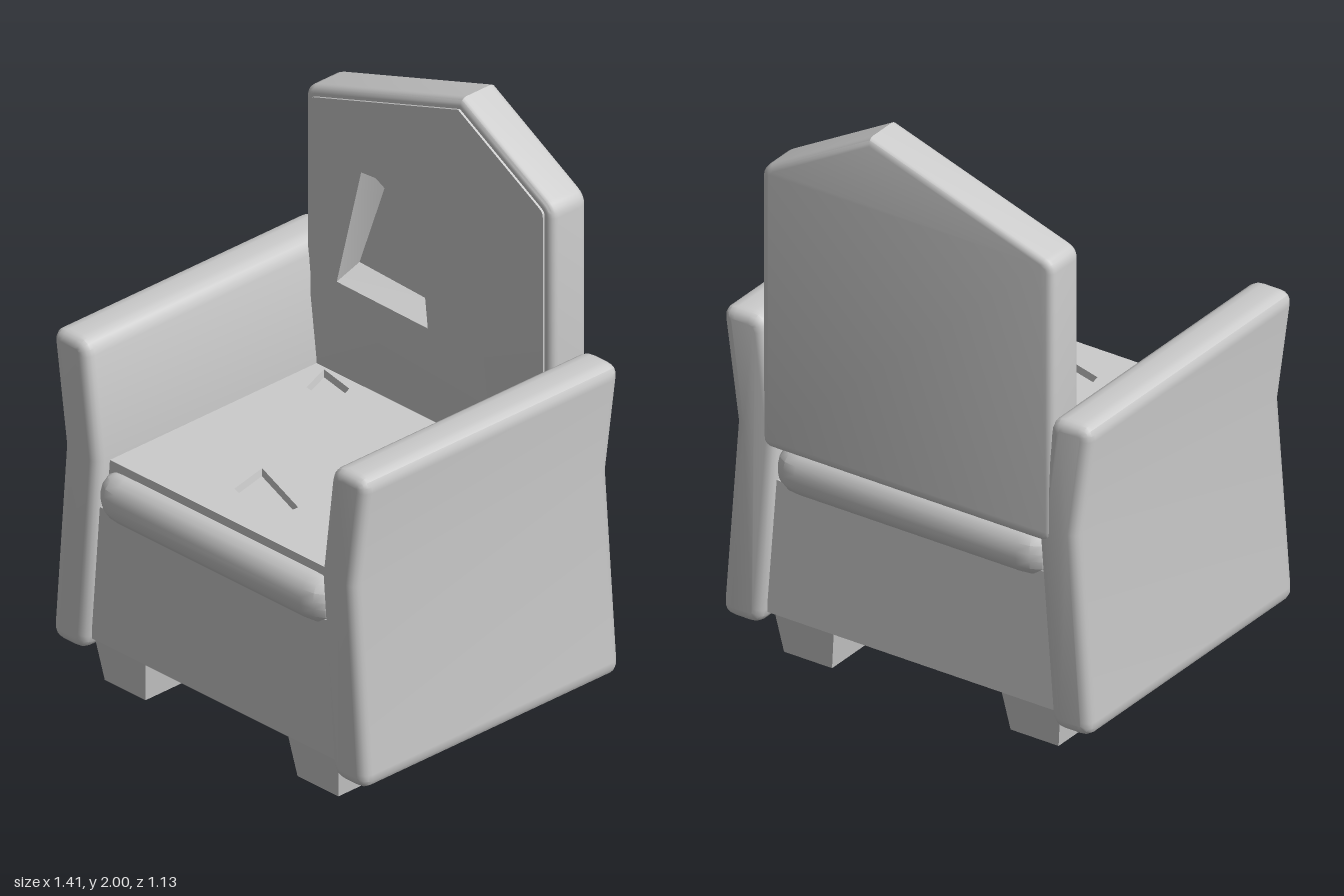
import * as THREE from 'three';
import { mergeGeometries, toCreasedNormals } from 'three/addons/utils/BufferGeometryUtils.js';

const material = new THREE.MeshStandardMaterial({ color: 0xcccccc });
const V = (x, y) => new THREE.Vector2(x, y);

// Counter-clockwise outline; each corner is cut back by c and curved, or kept sharp when marked 0
function outline(corners, c) {
  const pts = corners.map(([x, y]) => V(x, y));
  const n = pts.length;
  return corners.flatMap((corner, i) => {
    const p = pts[i];
    if (corner[2] === 0 || c === 0) return [p];
    const toward = (q) => p.clone().add(q.clone().sub(p).setLength(c));
    return new THREE.QuadraticBezierCurve(toward(pts[(i + n - 1) % n]), p, toward(pts[(i + 1) % n])).getPoints(4);
  });
}

// Move an outline inward by d along its mitres
function inset(pts, d) {
  const n = pts.length;
  const normal = (a, b) => V(a.y - b.y, b.x - a.x).normalize();
  return pts.map((p, i) => {
    const n1 = normal(pts[(i + n - 1) % n], p), n2 = normal(p, pts[(i + 1) % n]);
    return p.clone().addScaledVector(n1.clone().add(n2), d / (1 + n1.dot(n2)));
  });
}

// Skin between rings of { pts, z }
function loft(rings) {
  const pos = [], n = rings[0].pts.length;
  for (let i = 0; i + 1 < rings.length; i++) {
    for (let j = 0; j < n; j++) {
      const at = (r, k) => [r.pts[k % n].x, r.pts[k % n].y, r.z];
      const a = at(rings[i], j), b = at(rings[i], j + 1), c = at(rings[i + 1], j + 1), d = at(rings[i + 1], j);
      pos.push(...a, ...b, ...c, ...a, ...c, ...d);
    }
  }
  return new THREE.BufferGeometry().setAttribute('position', new THREE.Float32BufferAttribute(pos, 3));
}

// Flat face, optionally with holes or facing backward
function cap(pts, z, holes = [], back = false) {
  const shape = new THREE.Shape(pts);
  shape.holes = holes.map((h) => new THREE.Path(h));
  const g = new THREE.ShapeGeometry(shape);
  if (back) g.setIndex([...g.index.array].reverse());
  const flat = g.toNonIndexed().translate(0, 0, z);
  flat.deleteAttribute('uv');
  flat.deleteAttribute('normal');
  return flat;
}

// Soft-edged slab from z0 to z1, with an optional raised lip and sunken pockets on its front
function slab(corners, z0, z1, r, { lip = 0, pockets = [] } = {}) {
  const pts = outline(corners, r * 1.5);
  const rings = [], top = z1 - lip, steps = r ? 4 : 0;
  const ring = (d, z) => rings.push({ pts: inset(pts, d), z });
  for (let i = 0; i <= steps; i++) {
    const a = steps ? (i / steps) * Math.PI / 2 : 0;
    ring(r * (1 - Math.sin(a)), z0 + r * (1 - Math.cos(a)));
  }
  for (let i = 0; i <= steps; i++) {
    const a = steps ? (i / steps) * Math.PI / 2 : 0;
    ring(r * (1 - Math.cos(a)), top - r * (1 - Math.sin(a)));
  }
  if (lip) {
    ring(r + 0.01, top);
    ring(r + 0.01, z1);
  }
  const holes = pockets.map((p) => p.rim);
  const parts = [
    loft(rings),
    cap(rings[0].pts, z0, [], true),
    cap(rings[rings.length - 1].pts, z1, holes),
  ];
  for (const { rim, floor, depth } of pockets) {
    parts.push(loft([{ pts: rim, z: z1 }, { pts: floor, z: z1 - depth }]), cap(floor, z1 - depth));
  }
  return toCreasedNormals(mergeGeometries(parts), 0.5);
}

export function createModel() {
  const group = new THREE.Group();
  const add = (name, geometry) => {
    const mesh = new THREE.Mesh(geometry, material);
    mesh.name = name;
    group.add(mesh);
    return mesh;
  };
  const rect = (x0, y0, x1, y1) => [[x0, y0], [x1, y0], [x1, y1], [x0, y1]];
  const points = (list) => list.map(([x, y]) => V(x, y));

  // Arms, pinched at seat height
  const arm = [[0.555, 0.11], [0.71, 0.11], [0.655, 0.82, 0], [0.71, 1.22], [0.55, 1.22], [0.5, 0.81, 0]];
  const mirrored = arm.map(([x, y, c]) => [-x, y, c]).reverse();
  add('leftArm', slab(arm, -0.56, 0.557, 0.035));
  add('rightArm', slab(mirrored, -0.56, 0.557, 0.035));

  // Backrest with an off-centre peak, a raised front panel and a slanted pocket
  const backPocket = {
    rim: points([[-0.41, 1.13], [0, 1.125], [-0.04, 1.475], [-0.235, 1.57], [-0.3, 1.565]]),
    floor: points([[-0.4, 1.17], [-0.01, 1.155], [-0.05, 1.43], [-0.255, 1.54], [-0.265, 1.54]]),
    depth: 0.09,
  };
  const back = [[-0.563, 0.765], [0.553, 0.765], [0.553, 1.765], [0.14, 2, 0], [-0.563, 1.77]];
  add('backrest', slab(back, -0.563, -0.402, 0.025, { lip: 0.008, pockets: [backPocket] }));

  // Seat cushion with rolled edges
  const flat = (g) => g.rotateX(-Math.PI / 2);
  add('seatCushion', flat(slab(rect(-0.535, -0.563, 0.535, 0.563), 0.6, 0.775, 0.075)));

  // Thin seat panel with three shallow pockets (outlines in x, -z)
  const dents = [
    [[-0.455, 0.39], [-0.41, 0.27], [-0.265, 0.245], [-0.31, 0.36]],
    [[0.2, 0.045], [0.2, -0.135], [0.395, -0.07], [0.46, 0.14]],
    [[-0.13, -0.195], [-0.095, -0.35], [0.13, -0.415], [0.13, -0.29]],
  ].map((list) => {
    const rim = points(list);
    return { rim, floor: inset(rim, 0.004), depth: 0.024 };
  });
  add('seatPanel', flat(slab(rect(-0.505, -0.5, 0.505, 0.41), 0.74, 0.803, 0, { pockets: dents })));

  // Base box under the seat
  add('base', new THREE.BoxGeometry(1.1, 0.485, 1.06).translate(0, 0.3975, 0));

  // Tapered square feet
  for (const x of [-0.44, 0.428]) {
    for (const z of [0.4, -0.39]) {
      const foot = new THREE.CylinderGeometry(0.115 * Math.SQRT2, 0.092 * Math.SQRT2, 0.158, 4, 1)
        .rotateY(Math.PI / 4).toNonIndexed();
      foot.computeVertexNormals();
      add(`${z > 0 ? 'front' : 'rear'}${x > 0 ? 'Left' : 'Right'}Foot`, foot).position.set(x, 0.079, z);
    }
  }
  return group;
}
